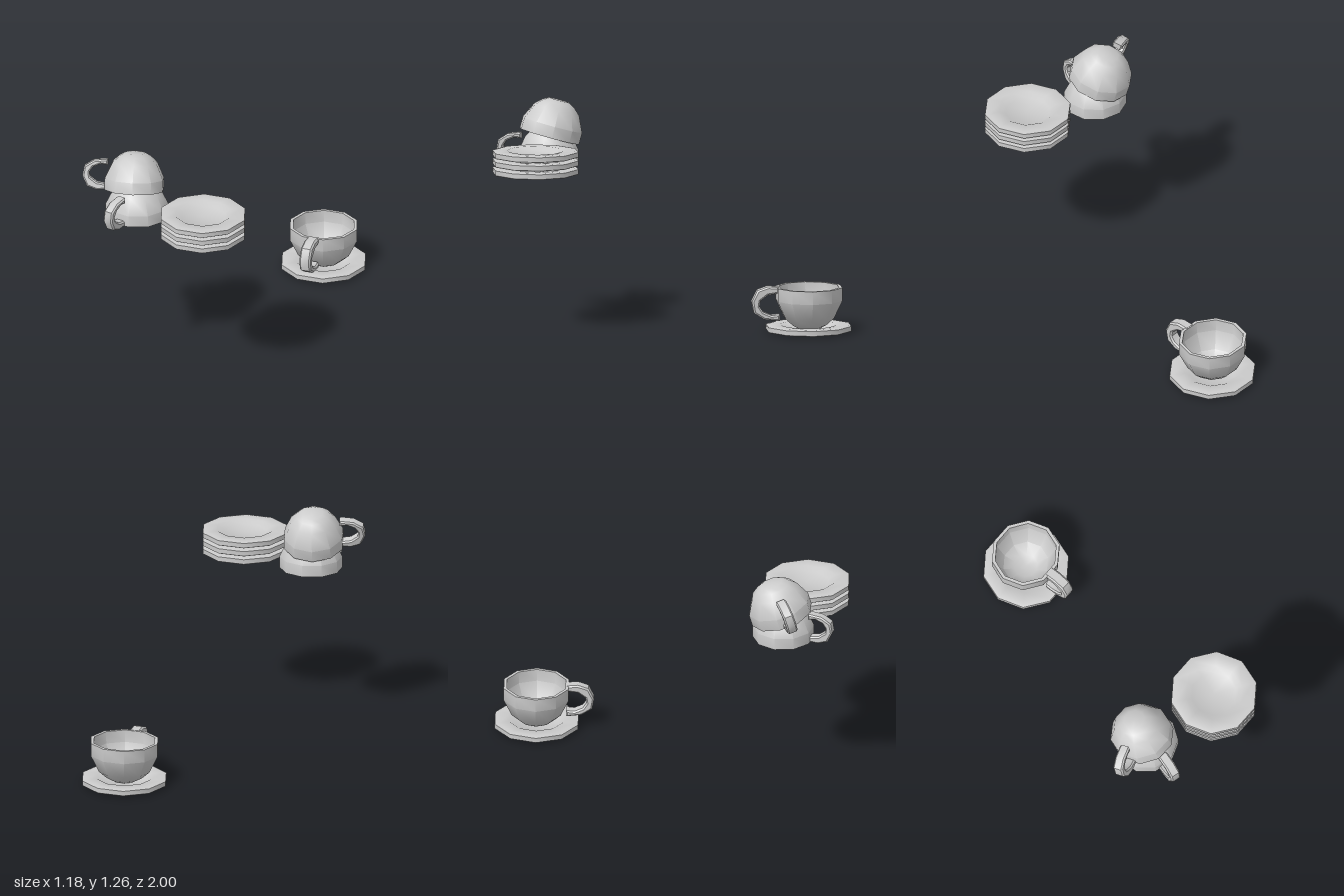
import * as THREE from 'three';
import { toCreasedNormals } from 'three/addons/utils/BufferGeometryUtils.js';

const material = new THREE.MeshStandardMaterial({ color: 0xcccccc });
const vec = (points) => points.map(([x, y]) => new THREE.Vector2(x, y));

function part(name, geometry) {
  const mesh = new THREE.Mesh(toCreasedNormals(geometry, 0.7), material);
  mesh.name = name;
  return mesh;
}

// Ten-sided turned solid with corners on the x axis
const turn = (profile) => new THREE.LatheGeometry(vec(profile), 10, Math.PI / 10);

// Bowl: outside from the foot to the rim, then back down the inside
const bowlGeometry = turn([
  [0, 0], [0.068, 0], [0.105, 0.02], [0.15, 0.06], [0.199, 0.16], [0.199, 0.235],
  [0.18, 0.235], [0.178, 0.165], [0.132, 0.065], [0.068, 0.025], [0, 0.025],
]).scale(1, 1, 0.966);

// Saucer: shallow foot, upright edge and a sunken well
const saucerGeometry = turn([
  [0, 0], [0.14, 0.004], [0.242, 0.009], [0.247, 0.012], [0.247, 0.039],
  [0.225, 0.043], [0.161, 0.043], [0.128, 0.022], [0, 0.022],
]);

// Handle: a bevelled strap curling out from the rim, with a free lower end
function makeHandleGeometry() {
  const bevel = 0.009, width = 0.066;
  const outline = new THREE.Shape(vec([
    [0.172, 0.237], [0.234, 0.242], [0.295, 0.221], [0.326, 0.157], [0.315, 0.093],
    [0.256, 0.055], [0.168, 0.045], [0.168, 0.082], [0.214, 0.077], [0.262, 0.098],
    [0.283, 0.13], [0.278, 0.162], [0.235, 0.194], [0.172, 0.203],
  ]));
  return new THREE.ExtrudeGeometry(outline, {
    depth: width - 2 * bevel, bevelEnabled: true, bevelSegments: 1,
    bevelThickness: bevel, bevelSize: bevel, bevelOffset: -bevel,
  }).translate(0, 0, bevel - width / 2).rotateY(-Math.PI / 2);
}
const handleGeometry = makeHandleGeometry();

// A cup stands on its foot; an upturned one is positioned by its rim
function cup(name, position, { scale = 1, turnY = 0, upturned = false, leanX = 0, leanZ = 0 } = {}) {
  const body = new THREE.Group();
  body.name = 'cupBody';
  body.add(part('bowl', bowlGeometry), part('handle', handleGeometry));
  body.rotation.set(0, turnY, upturned ? Math.PI : 0);
  if (upturned) body.position.y = 0.235;
  const group = new THREE.Group();
  group.name = name;
  group.add(body);
  group.position.set(...position);
  group.rotation.set(leanX, 0, leanZ);
  group.scale.setScalar(scale);
  return group;
}

function saucer(name, x, y, z) {
  const mesh = part(name, saucerGeometry);
  mesh.position.set(x, y, z);
  return mesh;
}

export function createModel() {
  const model = new THREE.Group();
  model.name = 'teaCupsAndSaucers';

  // Served cup on its saucer
  model.add(saucer('servedSaucer', 0.347, 0.002, -0.765));
  model.add(cup('servedCup', [0.346, 0.025, -0.767]));

  // Stack of three saucers
  for (let i = 0; i < 3; i++) {
    model.add(saucer('stackedSaucer' + (i + 1), 0.167, 0.897 + i * 0.0485, 0.765));
  }

  // Two upturned cups, the upper one resting askew on the lower
  model.add(cup('lowerStackedCup', [-0.272, 0.898, 0.64],
    { scale: 0.9, turnY: -0.27, upturned: true }));
  model.add(cup('upperStackedCup', [-0.293, 1.045, 0.632],
    { scale: 0.9, turnY: -1.3, upturned: true, leanX: -0.28, leanZ: 0.06 }));

  return model;
}
